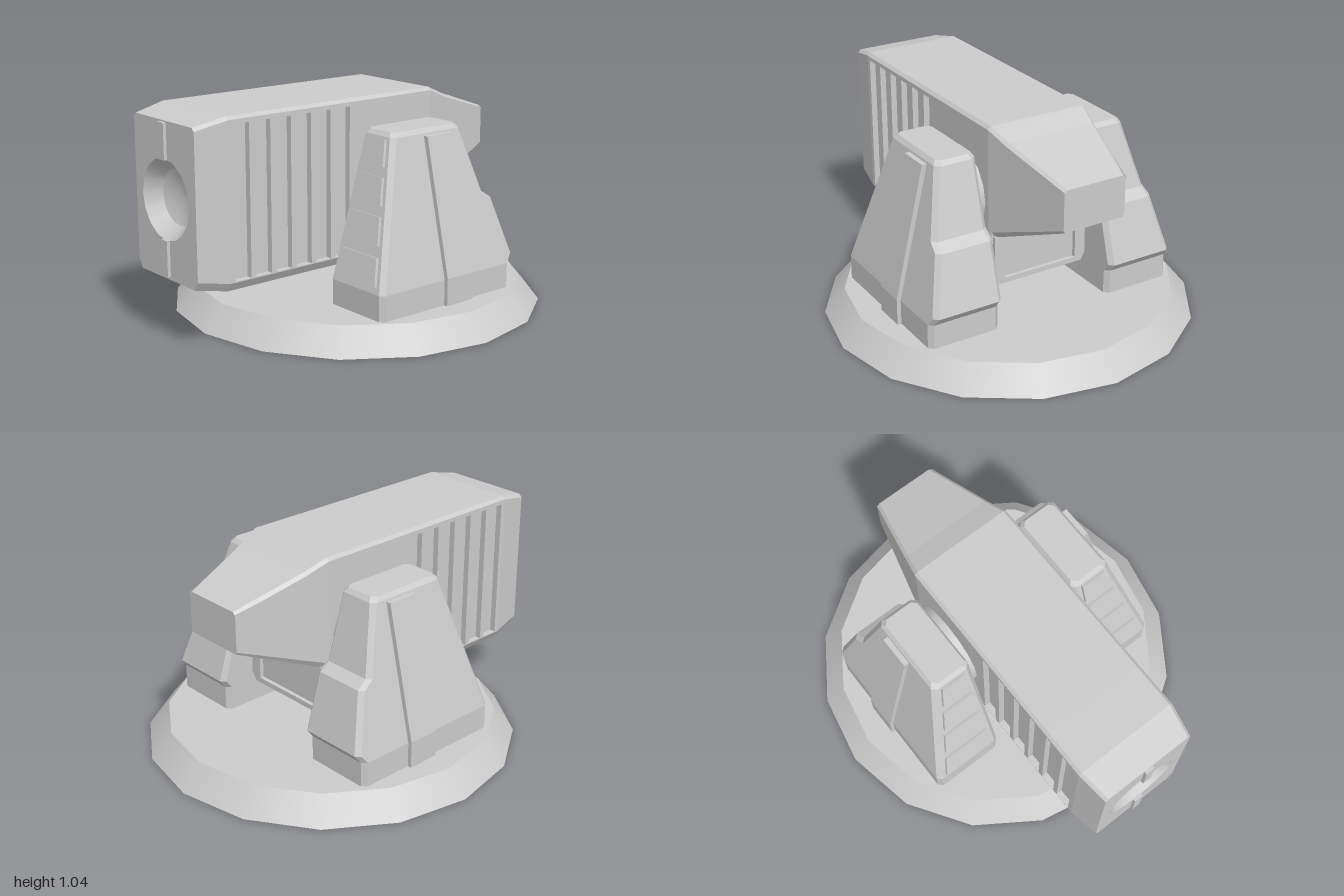
import * as THREE from 'three';

const material = new THREE.MeshStandardMaterial({ color: 0xcccccc });
const V = (x, y, z) => new THREE.Vector3(x, y, z);

function add(parent, name, geometry) {
  const mesh = new THREE.Mesh(geometry, material);
  mesh.name = name;
  parent.add(mesh);
  return mesh;
}

// Flat-shaded skin over rings that run counter-clockwise seen from the last ring's end
function loft(rings, capStart, capEnd) {
  const pos = [];
  const tri = (...pts) => pts.forEach((p) => pos.push(p.x, p.y, p.z));
  const n = rings[0].length;
  for (let i = 0; i < rings.length - 1; i++) {
    for (let j = 0; j < n; j++) {
      const k = (j + 1) % n;
      const [a, b, c, d] = [rings[i][j], rings[i][k], rings[i + 1][k], rings[i + 1][j]];
      tri(a, b, c);
      tri(a, c, d);
    }
  }
  const cap = (ring, flip) => {
    const mid = ring.reduce((s, p) => s.add(p), V(0, 0, 0)).divideScalar(n);
    ring.forEach((p, j) => {
      const q = ring[(j + 1) % n];
      flip ? tri(mid, q, p) : tri(mid, p, q);
    });
  };
  if (capStart) cap(rings[0], true);
  if (capEnd) cap(rings[rings.length - 1], false);
  const geo = new THREE.BufferGeometry();
  geo.setAttribute('position', new THREE.Float32BufferAttribute(pos, 3));
  geo.computeVertexNormals();
  return geo;
}

const polygon = (pts) => new THREE.Shape(pts.map(([x, y]) => new THREE.Vector2(x, y)));
const extrude = (shape, depth) => new THREE.ExtrudeGeometry(shape, { depth, bevelEnabled: false });

// Half outline of the barrel; inset sinks the side wall for a slot
function halfSection(w, yb, yt, inset) {
  const k = Math.min(1, (yt - yb) / 0.7);
  const lo = yb + 0.045 * k, hi = yt - 0.035 * k;
  return [
    [w - 0.025 * k, yb], [w, yb + 0.04 * k], [w, lo], [w - inset, lo],
    [w - inset, hi], [w, hi], [w, yt - 0.015], [w - 0.015, yt],
  ];
}
function section(w, yb, yt, inset = 0) {
  const half = halfSection(w, yb, yt, inset);
  return [...half, ...half.map(([x, y]) => [-x, y]).reverse()];
}

function buildBarrel() {
  const barrel = new THREE.Group();
  barrel.name = 'barrel';
  const ring = (z, ...s) => section(...s).map(([x, y]) => V(x, y, z));

  // Tail, rear step and main body, from back to front
  const rings = [
    ring(-0.79, 0.16, 0.69, 0.89),
    ring(-0.45, 0.235, 0.545, 1.0),
    ring(-0.36, 0.255, 0.507, 1.037),
    ring(-0.36, 0.255, 0.27, 1.037),
    ring(-0.34, 0.26, 0.27, 1.045),
  ];
  // Six vertical cooling slots on each side
  for (let i = 0; i < 6; i++) {
    const z0 = 0.16 + i * 0.112, z1 = z0 + 0.085;
    for (const [z, inset] of [[z0, 0], [z0, 0.03], [z1, 0.03], [z1, 0]]) {
      rings.push(ring(z, 0.26, 0.27, 1.045, inset));
    }
  }
  rings.push(ring(0.83, 0.26, 0.27, 1.045), ring(0.985, 0.237, 0.3, 1.012));
  add(barrel, 'barrelBody', loft(rings, true, false));

  // Front plate with a round opening
  const plate = polygon(section(0.237, 0.3, 1.012));
  const hole = [];
  for (let i = 0; i < 16; i++) {
    const a = (i * Math.PI) / 8;
    hole.push(new THREE.Vector2(0.185 * Math.cos(a), 0.66 + 0.185 * Math.sin(a)));
  }
  plate.holes.push(new THREE.Path(hole));
  add(barrel, 'frontPlate', new THREE.ShapeGeometry(plate)).position.z = 0.985;

  // Funnel wall and shallow dish inside the opening
  const lathe = (pts) => new THREE.LatheGeometry(pts.map(([r, y]) => new THREE.Vector2(r, y)), 16)
    .rotateX(Math.PI / 2).translate(0, 0.66, 0.985);
  add(barrel, 'muzzleFunnel', lathe([[0.13, -0.07], [0.185, 0]].reverse()));
  add(barrel, 'muzzleDish', lathe([[0.13, -0.07], [0.09, -0.085], [0.045, -0.095], [0, -0.098]]));
  for (const part of barrel.children.slice(-2)) {
    part.material = material.clone();
    part.material.side = THREE.DoubleSide;
  }

  // Raised strip above and below the opening
  for (const [y0, y1] of [[0.315, 0.48], [0.84, 1.005]]) {
    add(barrel, 'frontStrip', new THREE.BoxGeometry(0.046, y1 - y0, 0.02))
      .position.set(0, (y0 + y1) / 2, 0.99);
  }

  // Frame around the recessed panel under the tail
  const frame = polygon([[-0.23, 0.27], [0.23, 0.27], [0.253, 0.31], [0.248, 0.515], [-0.248, 0.515], [-0.253, 0.31]]);
  frame.holes.push(new THREE.Path([[-0.195, 0.295], [-0.195, 0.465], [0.195, 0.465], [0.195, 0.295]]
    .map(([x, y]) => new THREE.Vector2(x, y))));
  add(barrel, 'rearFrame', extrude(frame, 0.02)).position.z = -0.38;
  return barrel;
}

function buildTower() {
  const tower = new THREE.Group();
  tower.name = 'supportTower';
  const slope = Math.atan(0.2 / 0.675);

  // Tapered body with chamfered corners; bulge thickens the lower back
  const level = (y, bulge = 0, inset = 0) => {
    const t = Math.max(0, (y - 0.24) / 0.675);
    const xi = 0.298 + inset, xo = 0.66 - 0.16 * t - inset;
    const zf = 0.31 - 0.2 * t - inset, zb = -0.5 + 0.2 * t - bulge + inset;
    const c = 0.022;
    return [
      [xi + c, zf], [xo - c, zf], [xo, zf - c], [xo, zb + c],
      [xo - c, zb], [xi + c, zb], [xi, zb + c], [xi, zf - c],
    ].map(([x, z]) => V(x, y, z));
  };
  add(tower, 'towerBody', loft([
    level(0.12), level(0.24), level(0.28, 0.042), level(0.55, 0.042),
    level(0.585), level(0.895), level(0.915, 0, 0.012),
  ], true, true));

  // Outer rib
  const rib = polygon([[0.48, 0.12], [0.68, 0.12], [0.68, 0.25], [0.532, 0.885], [0.48, 0.885]]);
  add(tower, 'outerRib', extrude(rib, 0.16)).position.z = -0.228;

  // Four raised panels on the sloping front
  const outer = (y) => 0.612 - 0.237 * (y - 0.27);
  for (const [y0, y1] of [[0.27, 0.39], [0.44, 0.56], [0.605, 0.725], [0.77, 0.885]]) {
    const s = (y) => (y - 0.24) / Math.cos(slope);
    const panel = polygon([[0.34, s(y0)], [outer(y0), s(y0)], [outer(y1), s(y1)], [0.34, s(y1)]]);
    const mesh = add(tower, 'frontPanel', extrude(panel, 0.014));
    mesh.position.set(0, 0.24, 0.31);
    mesh.rotation.x = -slope;
  }
  return tower;
}

export function createModel() {
  const model = new THREE.Group();
  model.name = 'turret';

  add(model, 'base', new THREE.CylinderGeometry(0.8, 0.9, 0.12, 16)).position.set(0, 0.06, -0.1);

  for (const side of [1, -1]) {
    const tower = buildTower();
    tower.scale.x = side;
    model.add(tower);
  }

  // Pivot between the towers
  const axle = add(model, 'axle', new THREE.CylinderGeometry(0.21, 0.21, 0.62, 16));
  axle.rotation.z = Math.PI / 2;
  axle.position.set(0, 0.665, -0.105);

  model.add(buildBarrel());
  return model;
}
